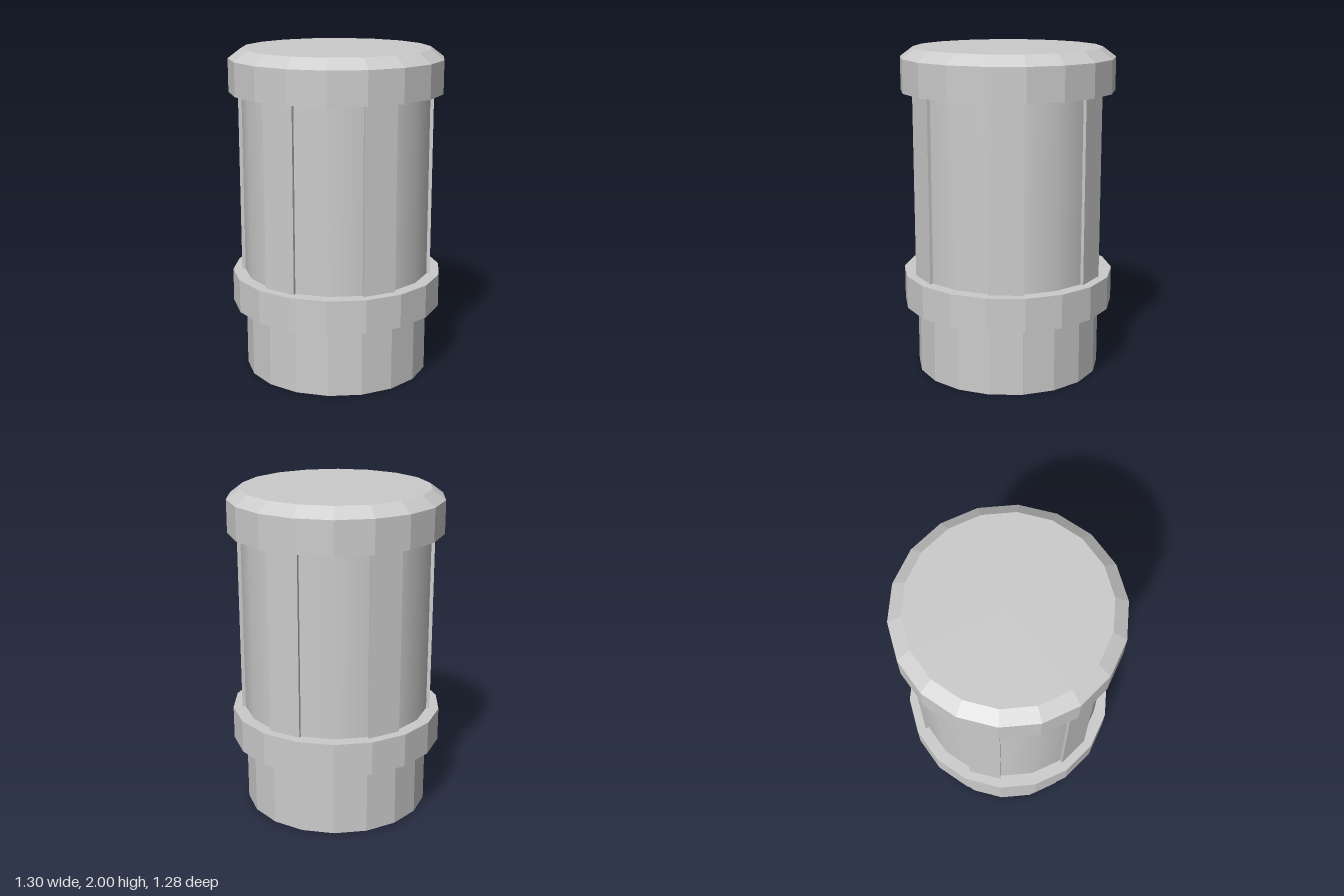
import * as THREE from 'three';

const RAD = Math.PI / 180;
const SIDES = 18;
const R_BODY = 0.573, R_PANEL = 0.594, R_BAND = 0.65, R_BASE = 0.57;
const Y_LOW = 0.625, Y_HIGH = 1.74;

export function createModel() {
  const model = new THREE.Group();
  const flat = new THREE.MeshStandardMaterial({ color: 0xcccccc, flatShading: true, side: THREE.DoubleSide });
  const smooth = new THREE.MeshStandardMaterial({ color: 0xcccccc, side: THREE.DoubleSide });

  const add = (parent, name, geometry, material) => {
    const mesh = new THREE.Mesh(geometry, material);
    mesh.name = name;
    parent.add(mesh);
    return mesh;
  };

  // Faceted turned part from [radius, height] pairs, listed upwards
  const turned = (name, profile) => add(model, name, new THREE.LatheGeometry(
    profile.map(([r, y]) => new THREE.Vector2(r, y)), SIDES, 10 * RAD), flat);

  // Hollow foot, open underneath
  turned('base', [[R_BASE, 0], [R_BASE, 0.4]]);
  // Lower band with a sloping underside and a flat ledge
  turned('lowerCollar', [[R_BASE, 0.4], [R_BAND, 0.42], [R_BAND, Y_LOW], [R_BODY, Y_LOW]]);
  // Bevelled lid
  turned('cap', [[R_BODY, Y_HIGH], [R_BAND, Y_HIGH], [R_BAND, 1.94], [R_BASE, 2], [0, 2]]);

  // Barrel: six smooth recessed walls alternating with six narrow raised panels
  const barrel = new THREE.Group();
  barrel.name = 'barrel';
  model.add(barrel);
  const height = Y_HIGH - Y_LOW;
  const middle = (Y_HIGH + Y_LOW) / 2;

  for (let i = 0; i < 6; i++) {
    const angle = i * 60;
    const wall = (r, steps, start, sweep) => new THREE.CylinderGeometry(
      r, r, height, steps, 1, true, (angle + start) * RAD, sweep * RAD);

    add(barrel, 'recessedWall', wall(R_BODY, 2, 10, 40), smooth).position.y = middle;
    add(barrel, 'raisedPanel', wall(R_PANEL, 1, -10, 20), flat).position.y = middle;

    // Narrow side faces of the raised panel
    for (const s of [-1, 1]) {
      const a = (angle + s * 10) * RAD;
      const r = (R_BODY + R_PANEL) / 2;
      const edge = add(barrel, 'panelEdge', new THREE.PlaneGeometry(R_PANEL - R_BODY, height), flat);
      edge.rotation.y = a + s * Math.PI / 2;
      edge.position.set(r * Math.sin(a), middle, r * Math.cos(a));
    }
  }
  return model;
}
